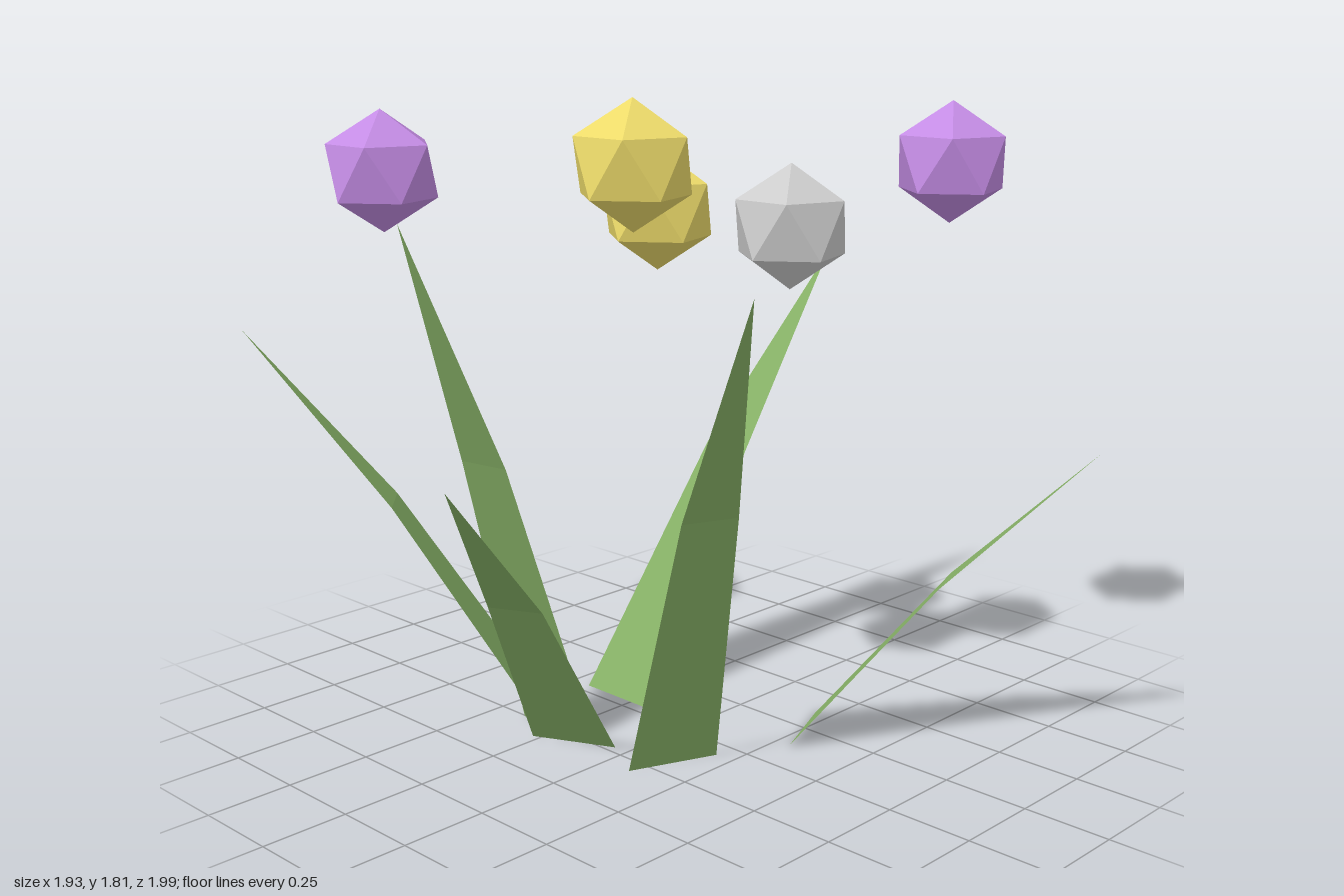
import * as THREE from 'three';

const BLOOM_RADIUS = 0.172;
const MID_HEIGHT = 0.556; // bend height as a fraction of the tip height
const MID_WIDTH = 0.61; // width at the bend as a fraction of the base width

// Flat leaf blade: base edge a-b on the ground, one bend, pointed tip.
function bladeGeometry([ax, az], [bx, bz], [tx, ty, tz]) {
  const a = new THREE.Vector3(ax, 0, az);
  const b = new THREE.Vector3(bx, 0, bz);
  const tip = new THREE.Vector3(tx, ty, tz);
  const mid = a.clone().add(b).multiplyScalar(0.5).lerp(tip, 0.5);
  mid.y = ty * MID_HEIGHT;
  const half = b.clone().sub(a).multiplyScalar(MID_WIDTH / 2);
  const c = mid.clone().sub(half);
  const d = mid.clone().add(half);
  const geometry = new THREE.BufferGeometry().setFromPoints([a, b, d, a, d, c, c, d, tip]);
  geometry.computeVertexNormals();
  return geometry;
}

export function createModel() {
  const model = new THREE.Group();
  model.name = 'flowers';

  // Leaf blades: two base corners [x, z] and tip [x, y, z]
  const leafMaterial = new THREE.MeshStandardMaterial({
    color: 0x86b066, flatShading: true, side: THREE.DoubleSide,
  });
  const blades = [
    [[-0.238, -0.354], [-0.063, -0.54], [-0.75, 1.14, -1.0]],
    [[-0.217, -0.146], [-0.254, -0.397], [-0.8, 1.52, -0.2]],
    [[-0.224, -0.047], [-0.332, -0.273], [-0.965, 0.94, 0.16]],
    [[-0.063, 0.192], [-0.306, 0.092], [-0.386, 1.38, 0.604]],
    [[0.038, -0.434], [0.036, -0.172], [0.963, 1.25, -0.284]],
    [[0.356, 0.2], [0.12, 0.3], [0.55, 0.9, 0.99]],
  ];
  const leaves = new THREE.Group();
  leaves.name = 'leaves';
  for (const [a, b, tip] of blades) {
    const blade = new THREE.Mesh(bladeGeometry(a, b, tip), leafMaterial);
    blade.name = 'leafBlade';
    leaves.add(blade);
  }
  model.add(leaves);

  // Blooms: icosahedra turned so a corner points straight up
  const bloomGeometry = new THREE.IcosahedronGeometry(BLOOM_RADIUS, 0);
  bloomGeometry.rotateZ(-Math.atan2(1, (1 + Math.sqrt(5)) / 2));
  const bloomMaterial = (color) => new THREE.MeshStandardMaterial({ color, flatShading: true });
  const purple = bloomMaterial(0xc48ce4);
  const yellow = bloomMaterial(0xecda6a);
  const grey = bloomMaterial(0xcccccc);
  const blooms = [
    ['purpleBloom', purple, -0.424, 1.58, -0.757],
    ['purpleBloom', purple, 0.72, 1.6, 0.358],
    ['yellowBloom', yellow, -0.245, 1.64, 0.06],
    ['yellowBloom', yellow, 0.106, 1.475, -0.2],
    ['greyBloom', grey, 0.225, 1.45, 0.19],
  ];
  for (const [name, material, x, y, z] of blooms) {
    const bloom = new THREE.Mesh(bloomGeometry, material);
    bloom.name = name;
    bloom.position.set(x, y, z);
    model.add(bloom);
  }
  return model;
}
